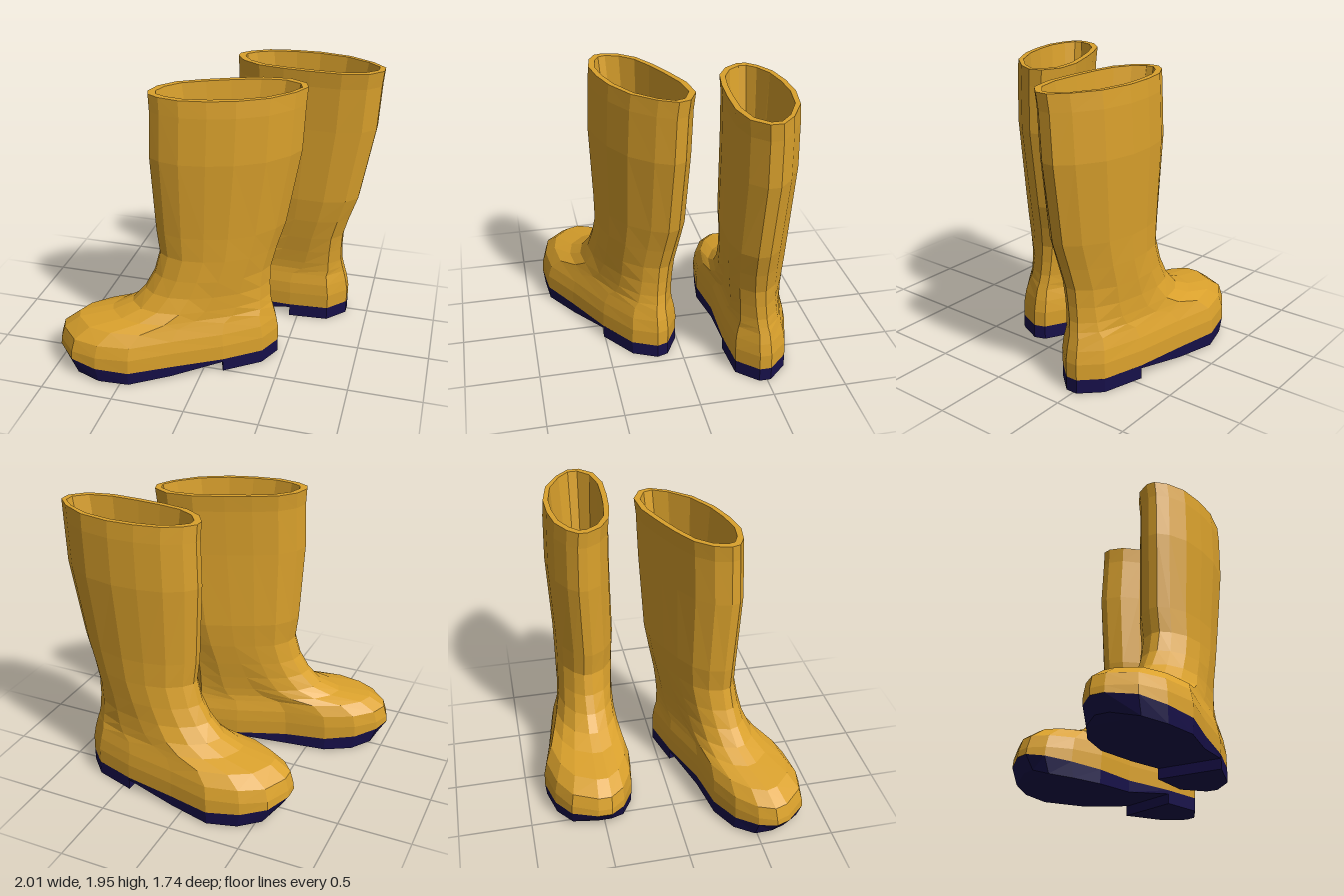
import * as THREE from 'three';

const yellow = new THREE.MeshStandardMaterial({ color: 0xdaa12c, flatShading: true });
const navy = new THREE.MeshStandardMaterial({ color: 0x17104a, flatShading: true });

// Outlines as stations from toe to heel: [along, outer side, inner side]
const FOOT = [
  [1.17, 0.1, 0.005], [1.09, 0.27, -0.09], [0.93, 0.365, -0.17], [0.71, 0.415, -0.2],
  [0.42, 0.35, -0.155], [0.06, 0.285, -0.165], [-0.22, 0.2, -0.145], [-0.345, 0.07, -0.01],
];
const SHAFT = [
  [0.5, 0.06, 0], [0.44, 0.125, -0.09], [0.32, 0.19, -0.16], [0.15, 0.22, -0.19],
  [-0.03, 0.225, -0.205], [-0.24, 0.185, -0.21], [-0.41, 0.09, -0.17], [-0.5, 0, -0.08],
];
// Heights of the sole's upper and lower edges at each station
const SOLE_TOP = [0.155, 0.14, 0.115, 0.1, 0.095, 0.095, 0.095, 0.095];
const SOLE_BOTTOM = [0.06, 0.028, 0.01, 0.005, 0.015, 0.07, 0.07, 0.07];

// Slices of the upper: [height, blend foot to shaft, toe, heel, outer, inner]
const SLICES = [
  [0.2, 0, 1.165, -0.345, 0.412, -0.203],
  [0.285, 0, 1.14, -0.33, 0.39, -0.195],
  [0.36, 0.08, 1.03, -0.31, 0.345, -0.172],
  [0.4, 0.25, 0.8, -0.3, 0.3, -0.158],
  [0.46, 0.5, 0.66, -0.288, 0.268, -0.15],
  [0.56, 0.75, 0.57, -0.285, 0.24, -0.155],
  [0.68, 0.9, 0.505, -0.29, 0.23, -0.172],
  [0.83, 1, 0.465, -0.33, 0.225, -0.19],
  [1.0, 1, 0.485, -0.385, 0.225, -0.203],
  [1.53, 1, 0.515, -0.475, 0.245, -0.2],
  [1.84, 1, 0.505, -0.49, 0.235, -0.205],
  [1.95, 1, 0.51, -0.5, 0.225, -0.215],
];

// Closed ring: down the outer side, back up the inner side
function ring(stations, height) {
  const side = (k) => stations.map((s, i) => [s[0], Array.isArray(height) ? height[i] : height, s[k]]);
  return [...side(1), ...side(2).reverse()];
}

function slice([y, blend, toe, heel, outer, inner]) {
  const { lerp, mapLinear } = THREE.MathUtils;
  const mixed = FOOT.map((s, i) => s.map((v, k) => lerp(v, SHAFT[i][k], blend)));
  const [front, back] = [mixed[0][0], mixed[7][0]];
  const hi = Math.max(...mixed.map((s) => s[1]));
  const lo = Math.min(...mixed.map((s) => s[2]));
  const across = (v) => mapLinear(v, lo, hi, inner, outer);
  return ring(mixed.map(([u, a, b]) => [mapLinear(u, back, front, heel, toe), across(a), across(b)]), y);
}

// Skins a stack of rings, optionally closing either end; side -1 mirrors it
function loft(name, rings, material, side, capStart, capEnd) {
  const n = rings[0].length, index = [];
  const tri = (a, b, c) => index.push(...(side > 0 ? [a, b, c] : [a, c, b]));
  for (let r = 0; r < rings.length - 1; r++) {
    for (let i = 0; i < n; i++) {
      const a = r * n + i, b = r * n + ((i + 1) % n);
      tri(a, a + n, b);
      tri(b, a + n, b + n);
    }
  }
  const cap = (base, up) => {
    for (let k = 0; k < n / 2 - 1; k++) {
      const [a, b, c, d] = [k, n - 1 - k, k + 1, n - 2 - k].map((i) => base + i);
      if (up) { tri(a, b, c); tri(c, b, d); } else { tri(a, c, b); tri(c, d, b); }
    }
  };
  if (capStart) cap(0, false);
  if (capEnd) cap((rings.length - 1) * n, true);
  const points = rings.flat().flatMap(([x, y, z]) => [x, y, z * side]);
  const geometry = new THREE.BufferGeometry();
  geometry.setAttribute('position', new THREE.Float32BufferAttribute(points, 3));
  geometry.setIndex(index);
  const flat = geometry.toNonIndexed();
  flat.computeVertexNormals();
  const mesh = new THREE.Mesh(flat, material);
  mesh.name = name;
  return mesh;
}

function boot(name, side) {
  const group = new THREE.Group();
  group.name = name;

  // Upper: foot, shaft, rim, then the tapering lining down to the insole
  const outside = [ring(FOOT, SOLE_TOP), ...SLICES.map(slice)];
  const scaled = (su, sv, y) => ring(SHAFT.map(([u, a, b]) => [u * su, a * sv, b * sv]), y);
  group.add(loft('upper', [...outside, scaled(0.92, 0.84, 1.95), scaled(0.42, 0.43, 0.45)], yellow, side, false, true));

  // Sole with toe spring and raised arch
  const tread = FOOT.map(([u, a, b], i) => [u - [0.06, 0.04, 0.02, 0, 0, 0, 0, 0][i], a * 0.98, b * 0.98]);
  group.add(loft('sole', [ring(tread, SOLE_BOTTOM), ring(FOOT, SOLE_TOP)], navy, side, true, true));

  // Heel block under the last stations
  const heel = FOOT.slice(5);
  group.add(loft('heel', [ring(heel, 0), ring(heel, 0.094)], navy, side, true, true));
  return group;
}

export function createModel() {
  const model = new THREE.Group();
  model.name = 'rubberBoots';

  const backBoot = boot('backBoot', 1);
  backBoot.position.set(0.5, 0, -0.455);
  backBoot.rotation.y = Math.PI;

  const frontBoot = boot('frontBoot', -1);
  frontBoot.position.set(0.1, 0, 0.22);
  frontBoot.rotation.y = Math.PI + 0.33;

  model.add(backBoot, frontBoot);
  return model;
}
